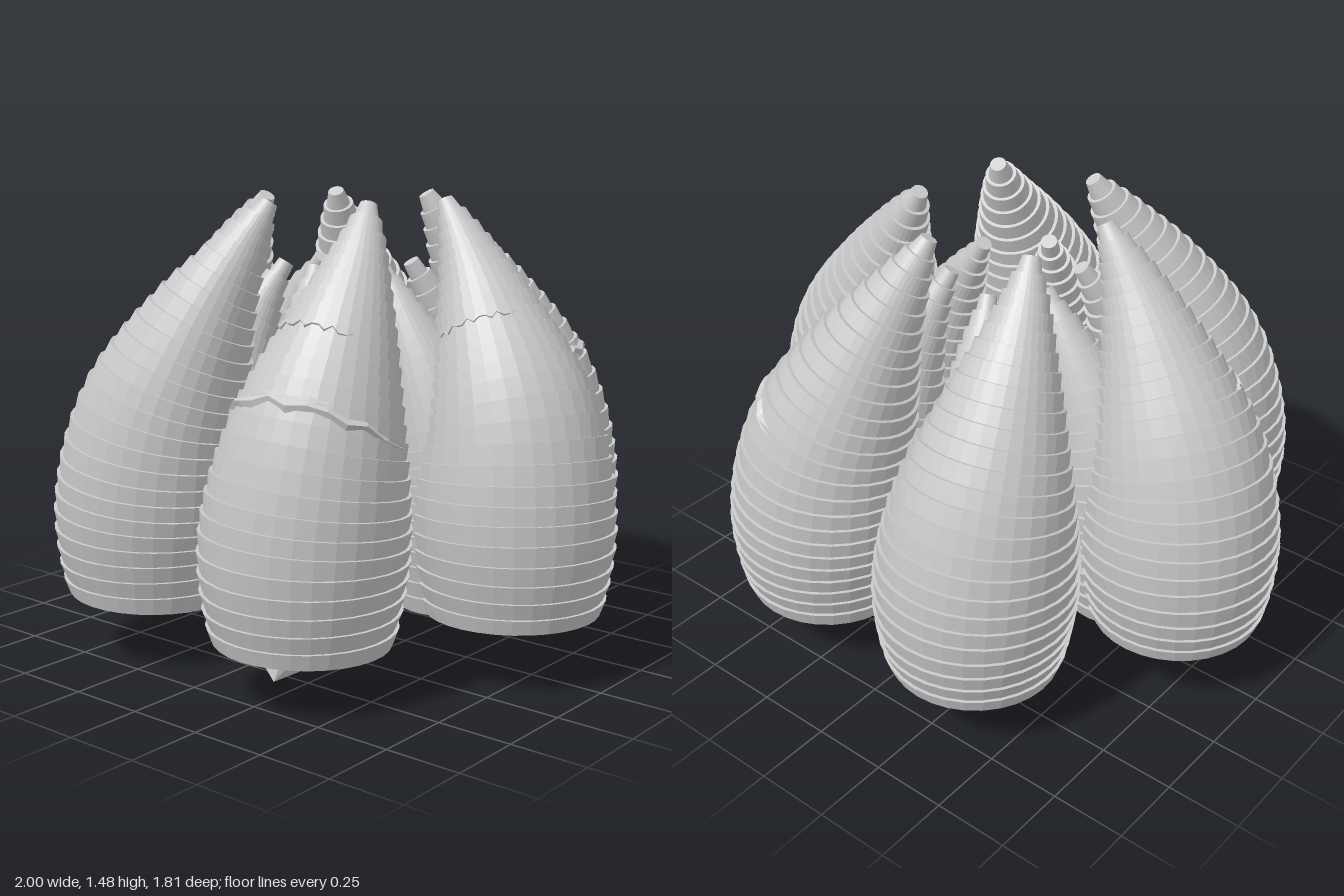
import * as THREE from 'three';
import { ConvexGeometry } from 'three/addons/geometries/ConvexGeometry.js';

const SIDES = 32;
const WALL = 0.055;
const material = new THREE.MeshStandardMaterial({ color: 0xcccccc, flatShading: true, side: THREE.DoubleSide });
const rad = THREE.MathUtils.degToRad;
const UP = new THREE.Vector3(0, 1, 0);

// Girth along a pod: [t, radius] smoothed by a spline
const girth = new THREE.SplineCurve([
  [0, 0.274], [0.1, 0.299], [0.2, 0.313], [0.3, 0.306], [0.4, 0.284], [0.5, 0.252],
  [0.6, 0.21], [0.7, 0.164], [0.8, 0.116], [0.9, 0.07], [1, 0.027],
].map(([t, r]) => new THREE.Vector2(t, r)));

// A pod is a curved axis plus a radius function
function makePod({ angle, twist, radii, heights, tipShift, scale, rings }) {
  const n = radii.length - 1;
  const points = radii.map((R, i) => {
    const f = (heights[i] - heights[0]) / (heights[n] - heights[0]);
    const a = rad(angle + twist * Math.pow(f, 2.5));
    const reach = R + tipShift * f * f;
    return new THREE.Vector3(reach * Math.cos(a), heights[i], reach * Math.sin(a));
  });
  const axis = new THREE.CatmullRomCurve3(points);
  const radius = (t) => Math.max(girth.getPoint(THREE.MathUtils.clamp(t, 0, 1)).y * scale, 0.027);
  const samples = [];
  for (let i = 0; i <= 60; i++) samples.push({ p: axis.getPointAt(i / 60), r: radius(i / 60) });
  const frames = new Map();
  // Point on the pod at axis position t, distance r and angle phi
  const at = (t, r, phi) => {
    if (!frames.has(t)) {
      frames.set(t, {
        p: axis.getPointAt(t),
        q: new THREE.Quaternion().setFromUnitVectors(UP, axis.getTangentAt(t)),
      });
    }
    const { p, q } = frames.get(t);
    return new THREE.Vector3(r * Math.cos(phi), 0, r * Math.sin(phi)).applyQuaternion(q).add(p);
  };
  // True when a point lies deeper than the given depth
  const contains = (p, depth) => {
    let best = Infinity, r = 0;
    for (const s of samples) {
      const d = s.p.distanceTo(p);
      if (d < best) { best = d; r = s.r; }
    }
    return best < r - depth;
  };
  return { at, radius, contains, rings };
}

// Hollow stepped shell; faces buried in the joined pod are left out
function podGeometry(pod, joined) {
  const loops = [[0.86, 0]];
  for (let i = 34; i >= 0; i--) {
    const t = i / 40;
    loops.push([t, Math.max(pod.radius(t) - WALL, 0.01)]);
  }
  const rim = loops.length - 1;
  for (let i = 0; i < pod.rings; i++) {
    const t0 = i / pod.rings, t1 = (i + 1) / pod.rings;
    loops.push([t0, pod.radius(t0)]);
    loops.push([t1, pod.radius(t1) + (i < pod.rings - 1 ? 0.011 : 0)]);
  }
  loops.push([1, 0]);

  const grid = loops.map(([t, r]) => {
    const row = [];
    for (let j = 0; j <= SIDES; j++) row.push(pod.at(t, r, (j / SIDES) * Math.PI * 2));
    return row;
  });
  const positions = [];
  const centre = new THREE.Vector3();
  for (let i = 0; i < grid.length - 1; i++) {
    // Cavity walls stop at the other cavity, outer walls at the other skin
    const depth = i < rim ? WALL - 0.004 : i === rim ? WALL / 2 : 0.012;
    for (let j = 0; j < SIDES; j++) {
      const a = grid[i][j], b = grid[i + 1][j], c = grid[i][j + 1], d = grid[i + 1][j + 1];
      centre.copy(a).add(b).add(c).add(d).multiplyScalar(0.25);
      if (joined.contains(centre, depth)) continue;
      for (const v of [a, b, c, b, d, c]) positions.push(v.x, v.y, v.z);
    }
  }
  return soup(positions);
}

function soup(positions) {
  const g = new THREE.BufferGeometry();
  g.setAttribute('position', new THREE.Float32BufferAttribute(positions, 3));
  g.computeVertexNormals();
  return g;
}

// Jagged broken lip running over part of a pod
function crackGeometry(pod, from, to, t, arch, size) {
  const steps = 14, rows = [];
  for (let i = 0; i <= steps; i++) {
    const f = i / steps;
    const phi = rad(from + (to - from) * f);
    const h = t + arch * Math.sin(f * Math.PI) + 0.007 * Math.sin(i * 2.4);
    const s = size * Math.sin(Math.PI * (0.06 + 0.88 * f));
    rows.push([
      pod.at(h - s, pod.radius(h - s) - 0.004, phi),
      pod.at(h, pod.radius(h) + 0.011 + s * 0.4, phi),
      pod.at(h + s * 1.5, pod.radius(h + s * 1.5) - 0.004, phi),
    ]);
  }
  const positions = [];
  for (let i = 0; i < steps; i++) {
    for (let k = 0; k < 2; k++) {
      const a = rows[i][k], b = rows[i][k + 1], c = rows[i + 1][k], d = rows[i + 1][k + 1];
      for (const v of [a, b, c, b, d, c]) positions.push(v.x, v.y, v.z);
    }
  }
  return soup(positions);
}

export function createModel() {
  const group = new THREE.Group();
  const add = (name, geometry) => {
    const mesh = new THREE.Mesh(geometry, material);
    mesh.name = name;
    group.add(mesh);
  };

  // Six clusters, each a tall outer pod fused with a shorter inner one:
  // base angle, base reach, lift of the base, twist, tip shift
  const outers = [
    [1.5, 0.682, 0, -19, 0],
    [62.8, 0.661, -0.03, -23, 0.005],
    [122, 0.668, 0, -23, -0.01],
    [182, 0.682, 0.03, -20, -0.05],
    [243, 0.664, 0.015, -19, -0.015],
    [301.5, 0.672, 0, -17.5, 0],
  ].map(([angle, reach, lift, twist, tipShift], k) => {
    const outer = makePod({
      angle, twist, tipShift, scale: 1, rings: 25,
      radii: [reach, reach - 0.006, reach - 0.04, 0.525, 0.422, 0.335],
      heights: [0.207 + lift, 0.5, 0.8, 1.1, 1.31, 1.465],
    });
    const inner = makePod({
      angle: 4 + 60 * k, twist: 15, tipShift, scale: 0.72, rings: 21,
      radii: [0.482, 0.477, 0.45, 0.37, 0.285, 0.21],
      heights: [0.207 + lift * 0.5, 0.45, 0.7, 0.95, 1.13, 1.255],
    });
    add('outerPod' + (k + 1), podGeometry(outer, inner));
    add('innerPod' + (k + 1), podGeometry(inner, outer));
    return outer;
  });

  // Broken lips on the cracked pods: pod, angles, position, arch, size
  [
    [1, 170, -20, 0.46, 0.05, 0.017],
    [1, 130, 40, 0.66, 0.01, 0.006],
    [5, 50, -80, 0.47, 0.03, 0.015],
    [0, 110, 30, 0.66, 0.01, 0.005],
    [3, 160, 90, 0.56, 0.02, 0.005],
  ].forEach(([k, from, to, t, arch, size]) => add('crackLip', crackGeometry(outers[k], from, to, t, arch, size)));

  // Loose shard below the front pod
  add('shard', new ConvexGeometry([
    [0.11, 0.04, 0.55], [0.16, 0, 0.56], [0.2, 0.02, 0.48], [0.13, 0.06, 0.5],
    [0.23, 0.08, 0.45], [0.29, 0.17, 0.48], [0.2, 0.16, 0.51], [0.25, 0.19, 0.52], [0.2, 0.11, 0.55],
  ].map((p) => new THREE.Vector3(...p))));

  return group;
}
